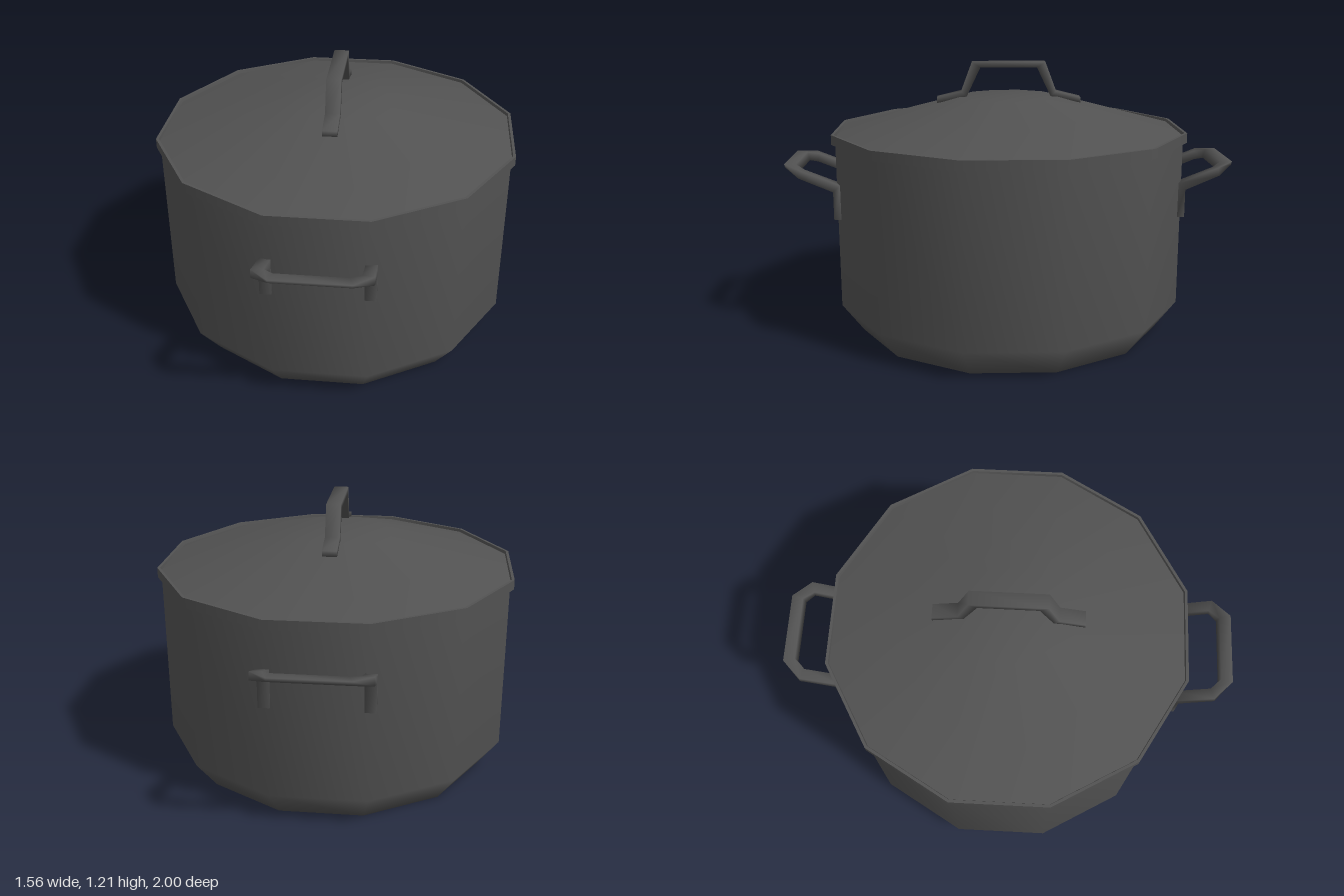
import * as THREE from 'three';

const SIDES = 12;
const CORNER = Math.cos(Math.PI / SIDES); // flat-to-corner ratio of the 12-sided outline

// Lathe from [distance to flat side, height]; a repeated point makes a sharp edge
function turned(name, profile, material) {
  const pts = profile.map(([d, y]) => new THREE.Vector2(d / CORNER, y));
  const mesh = new THREE.Mesh(new THREE.LatheGeometry(pts, SIDES, Math.PI / SIDES), material);
  mesh.name = name;
  return mesh;
}

// Smooth bar through four-cornered sections, capped at both ends
function bar(name, sections, material) {
  const index = [];
  const last = (sections.length - 1) * 4;
  for (let i = 0; i < last; i += 4) {
    for (let j = 0; j < 4; j++) {
      const k = (j + 1) % 4;
      index.push(i + j, i + k, i + 4 + k, i + j, i + 4 + k, i + 4 + j);
    }
  }
  index.push(0, 2, 1, 0, 3, 2, last, last + 1, last + 2, last, last + 2, last + 3);
  const geo = new THREE.BufferGeometry();
  geo.setAttribute('position', new THREE.Float32BufferAttribute(sections.flat(2), 3));
  geo.setIndex(index);
  geo.computeVertexNormals();
  const mesh = new THREE.Mesh(geo, material);
  mesh.name = name;
  return mesh;
}

export function createModel() {
  const group = new THREE.Group();
  group.name = 'cookingPot';
  const metal = new THREE.MeshStandardMaterial({ color: 0x525252 });
  metal.name = 'darkGrey';

  // Pot body with bevelled base
  group.add(turned('potBody', [[0, 0], [0.67, 0], [0.763, 0.13], [0.763, 0.89]], metal));

  // Lid: underside, upright rim, then the sloping top
  group.add(turned('lid', [
    [0, 0.872], [0.78, 0.872], [0.78, 0.872], [0.78, 0.915], [0.78, 0.915],
    [0.768, 0.915], [0.768, 0.915], [0.765, 0.902], [0.765, 0.902],
    [0.22, 1.056], [0, 1.056],
  ], metal));

  // Lid handle: outer z, outer y, inner z, inner y
  const half = [
    [0.325, 1.053, 0.325, 1.028],
    [0.215, 1.08, 0.19, 1.058],
    [0.165, 1.212, 0.128, 1.187],
  ];
  const w = 0.032;
  const lidSection = (s) => ([zo, yo, zi, yi]) =>
    [[w, yo, s * zo], [-w, yo, s * zo], [-w, yi, s * zi], [w, yi, s * zi]];
  group.add(bar('lidHandle',
    [...half.map(lidSection(-1)), ...half.map(lidSection(1)).reverse()], metal));

  // Side handles: foot, bend, arm, corner; mirrored across x
  const arm = [
    [[0.235, 0.54, 0.74], [0.187, 0.54, 0.74], [0.187, 0.54, 0.777], [0.235, 0.54, 0.777]],
    [[0.235, 0.695, 0.745], [0.187, 0.695, 0.745], [0.187, 0.665, 0.777], [0.235, 0.665, 0.777]],
    [[0.235, 0.763, 0.92], [0.187, 0.758, 0.905], [0.187, 0.718, 0.91], [0.235, 0.728, 0.925]],
    [[0.158, 0.777, 1.0], [0.145, 0.774, 0.95], [0.145, 0.733, 0.942], [0.158, 0.762, 0.996]],
  ];
  const mirrored = arm.map((s) => s.map(([x, y, z]) => [-x, y, z])).reverse();
  for (const [name, turn] of [['frontHandle', 0], ['backHandle', Math.PI]]) {
    const handle = bar(name, [...arm, ...mirrored], metal);
    handle.rotation.y = turn;
    group.add(handle);
  }
  return group;
}
